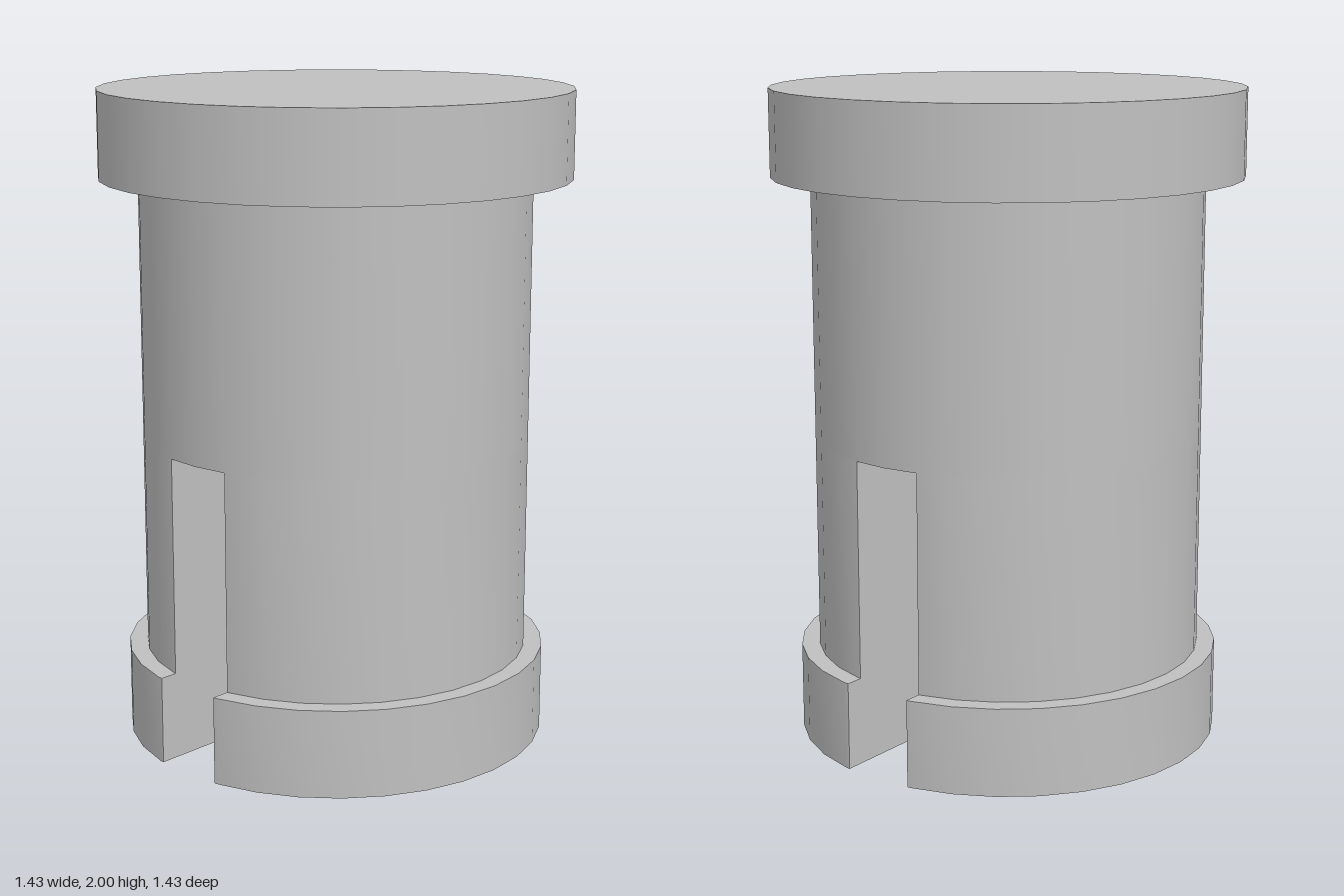
import * as THREE from 'three';
import { toCreasedNormals } from 'three/addons/utils/BufferGeometryUtils.js';

const SIDES = 32;
const SLOT_HALF = 0.1125; // half width of the slot, which runs through along z
const SLOT_TOP = 0.94;

export function createModel() {
  const model = new THREE.Group();
  model.name = 'slottedPlug';
  const grey = new THREE.MeshStandardMaterial({ color: 0xc0c0c0 });
  grey.name = 'grey';

  const add = (name, geometry, parent = model) => {
    const mesh = new THREE.Mesh(geometry, grey);
    mesh.name = name;
    parent.add(mesh);
    return mesh;
  };

  // Full disc between two heights
  const disc = (radius, y0, y1) =>
    new THREE.CylinderGeometry(radius, radius, y1 - y0, SIDES).translate(0, (y0 + y1) / 2, 0);

  // Part of a disc on the +x side of the slot
  const slottedHalf = (radius, y0, y1) => {
    const step = (Math.PI * 2) / SIDES;
    const corner = (i) => new THREE.Vector2(radius * Math.sin(i * step), -radius * Math.cos(i * step));
    const first = corner(0).lerp(corner(1), SLOT_HALF / corner(1).x);
    const points = [first];
    for (let i = 1; i < SIDES / 2; i++) points.push(corner(i));
    points.push(new THREE.Vector2(first.x, -first.y));
    const geometry = new THREE.ExtrudeGeometry(new THREE.Shape(points), { depth: y1 - y0, bevelEnabled: false });
    geometry.rotateX(-Math.PI / 2).translate(0, y0, 0);
    return toCreasedNormals(geometry, 0.5);
  };

  // Solid upper part
  add('cap', disc(0.716, 1.735, 2));
  add('upperShaft', disc(0.597, SLOT_TOP, 1.735));

  // Two matching legs, one on each side of the slot
  const shaftHalf = slottedHalf(0.597, 0.27, SLOT_TOP);
  const footHalf = slottedHalf(0.653, 0, 0.27);
  for (const side of ['left', 'right']) {
    const leg = new THREE.Group();
    leg.name = side + 'Leg';
    if (side === 'right') leg.rotation.y = Math.PI;
    add(side + 'LowerShaft', shaftHalf, leg);
    add(side + 'FootFlange', footHalf, leg);
    model.add(leg);
  }
  return model;
}
